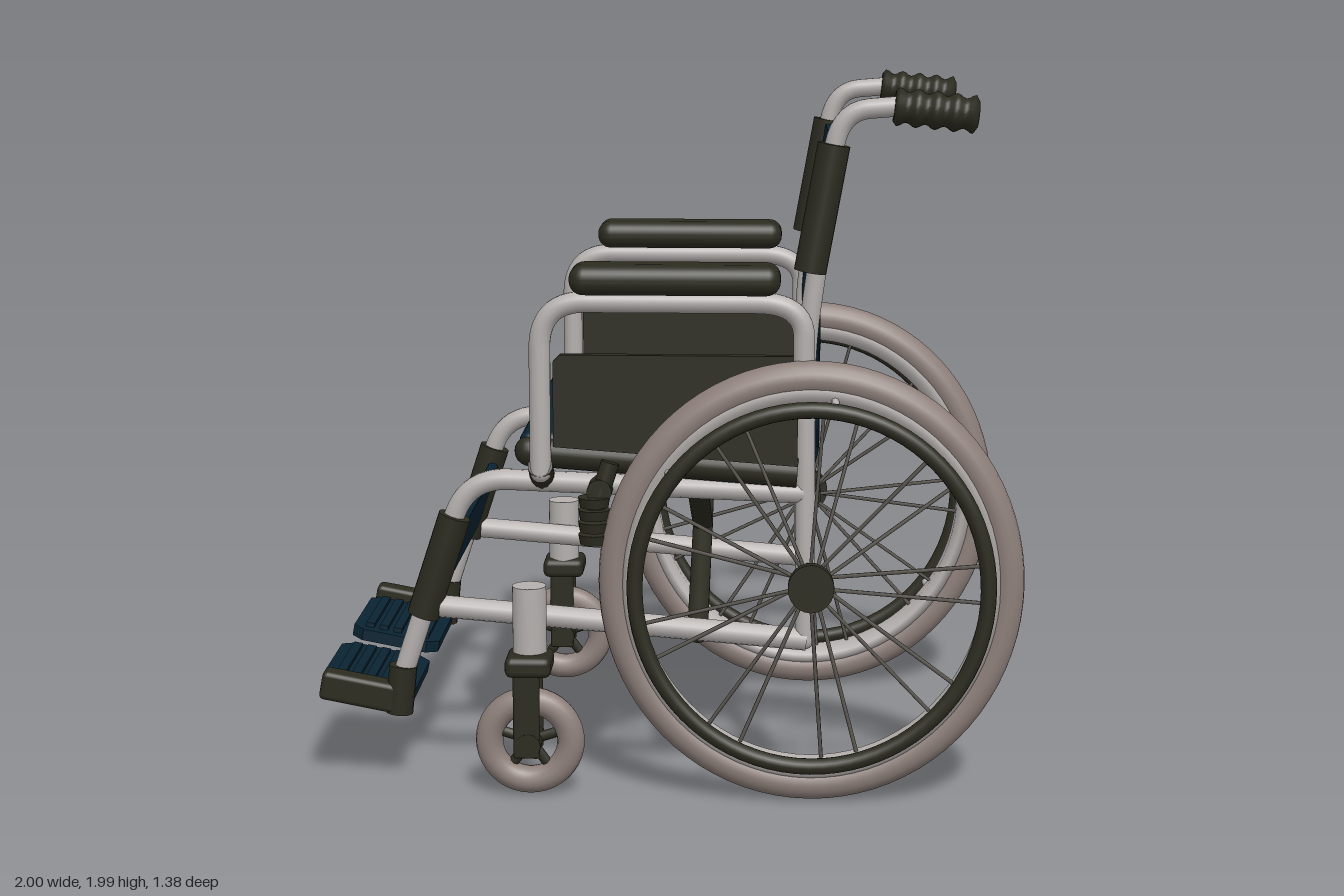
import * as THREE from 'three';
import { RoundedBoxGeometry } from 'three/addons/geometries/RoundedBoxGeometry.js';

const mat = (name, color) => {
  const m = new THREE.MeshStandardMaterial({ color });
  m.name = name;
  return m;
};
const V = (x, y, z = 0) => new THREE.Vector3(x, y, z);

export function createModel() {
  const model = new THREE.Group();
  model.name = 'wheelchair';
  const metal = mat('light metal', 0xb5b0ae);
  const dark = mat('dark plastic', 0x2c2b20);
  const blue = mat('navy fabric', 0x0a2433);
  const rubber = mat('grey rubber', 0x8d7f7a);
  const wire = mat('spoke grey', 0x5a5650);

  const add = (parent, name, geo, material, x = 0, y = 0, z = 0, rz = 0) => {
    const m = new THREE.Mesh(geo, material);
    m.name = name;
    m.position.set(x, y, z);
    m.rotation.z = rz;
    parent.add(m);
    return m;
  };
  // Straight round bar between two points
  const bar = (parent, name, a, b, r, material, sides = 14) => {
    const d = b.clone().sub(a);
    const m = add(parent, name, new THREE.CylinderGeometry(r, r, d.length(), sides), material);
    m.position.copy(a).lerp(b, 0.5);
    m.quaternion.setFromUnitVectors(V(0, 1), d.normalize());
    return m;
  };
  // Bent tube: straight runs with rounded corners, in the plane z
  const pipe = (parent, name, pts, z, r, bend, material) => {
    const p = pts.map(([x, y]) => V(x, y, z));
    const path = new THREE.CurvePath();
    let from = p[0];
    for (let i = 1; i < p.length - 1; i++) {
      const toward = (q) => p[i].clone().add(
        q.clone().sub(p[i]).setLength(Math.min(bend, q.distanceTo(p[i]) * 0.45)));
      const a = toward(p[i - 1]), b = toward(p[i + 1]);
      path.add(new THREE.LineCurve3(from, a));
      path.add(new THREE.QuadraticBezierCurve3(a, p[i], b));
      from = b;
    }
    path.add(new THREE.LineCurve3(from, p[p.length - 1]));
    add(parent, name, new THREE.TubeGeometry(path, 80, r, 14, false), material);
    for (const e of [p[0], p[p.length - 1]])
      add(parent, name + 'End', new THREE.SphereGeometry(r, 14, 8), material, e.x, e.y, e.z);
  };
  const disc = (parent, name, r, depth, material, x, y, z) => {
    const m = add(parent, name, new THREE.CylinderGeometry(r, r, depth, 24), material, x, y, z);
    m.rotation.x = Math.PI / 2;
    return m;
  };

  // Seat cushion
  add(model, 'seat', new RoundedBoxGeometry(0.77, 0.1, 1.03, 3, 0.03), blue, -0.025, 0.985, 0);

  // Backrest cloth: follows the leaning posts, bows backwards, top edge sags
  const back = new THREE.BoxGeometry(0.03, 1, 0.92, 1, 16, 14);
  const bp = back.attributes.position;
  for (let i = 0; i < bp.count; i++) {
    const t = bp.getY(i) + 0.5, z = bp.getZ(i), sag = 1 - (z / 0.46) ** 2;
    const y = 0.93 + t * (0.9 - 0.035 * sag);
    bp.setXYZ(i, bp.getX(i) + 0.4 + Math.max(0, y - 1.35) * 0.14 + 0.022 * sag, y, z);
  }
  back.computeVertexNormals();
  add(model, 'backrest', back, blue);

  // Calf strap between the front legs
  add(model, 'calfStrap', new RoundedBoxGeometry(0.03, 0.225, 0.94, 2, 0.012), blue, -0.63, 0.638, 0, -0.32);

  // Folding cross brace under the seat
  bar(model, 'crossBrace', V(0.09, 0.44, 0.46), V(0.09, 0.88, -0.46), 0.03, dark);
  bar(model, 'crossBraceShort', V(0.09, 0.87, 0.46), V(0.09, 0.65, -0.02), 0.03, dark);

  for (const s of [1, -1]) {
    const side = new THREE.Group();
    side.name = s > 0 ? 'leftSide' : 'rightSide';
    model.add(side);
    const fz = 0.49 * s;

    // Frame tubes
    pipe(side, 'backPost', [[0.395, 0.44], [0.39, 1.28], [0.475, 1.93], [0.66, 1.945]], fz, 0.028, 0.11, metal);
    pipe(side, 'legTube', [[-0.755, 0.31], [-0.56, 0.9], [0.38, 0.865]], fz, 0.03, 0.12, metal);
    bar(side, 'lowerRail', V(-0.64, 0.525, fz), V(0.4, 0.44, fz), 0.032, metal);
    pipe(side, 'armTube', [[-0.345, 0.93], [-0.345, 1.41], [0.385, 1.41], [0.385, 1.2]], 0.552 * s, 0.03, 0.13, metal);
    bar(side, 'armTubeSocket', V(-0.345, 0.9, fz), V(-0.345, 0.95, 0.56 * s), 0.035, dark);

    // Dark sleeves on the posts and legs
    bar(side, 'backSleeve', V(0.4, 1.49, 0.495 * s), V(0.462, 1.84, 0.495 * s), 0.045, dark, 20);
    bar(side, 'legSleeve', V(-0.69, 0.5, 0.495 * s), V(-0.595, 0.79, 0.495 * s), 0.046, dark, 20);

    // Ribbed push handle
    const prof = [[0, 0], [0.042, 0]];
    for (let i = 0; i <= 24; i++)
      prof.push([0.047 + 0.006 * Math.cos(i * Math.PI / 3), 0.01 + i * 0.0087]);
    prof.push([0.035, 0.23], [0, 0.23]);
    add(side, 'pushHandle', new THREE.LatheGeometry(prof.map(([x, y]) => new THREE.Vector2(x, y)), 20),
      dark, 0.625, 1.943, fz, -Math.PI / 2 - 0.1);

    // Armrest pad, side guard and seat rail
    add(side, 'armrestPad', new RoundedBoxGeometry(0.58, 0.085, 0.15, 4, 0.04), dark, 0.03, 1.475, 0.548 * s);
    const guard = new THREE.Shape([[-0.31, 1.0], [0.37, 0.95], [0.37, 1.26], [-0.29, 1.26], [-0.31, 1.24]]
      .map(([x, y]) => new THREE.Vector2(x, y)));
    add(side, 'sideGuard', new THREE.ExtrudeGeometry(guard, { depth: 0.03, bevelEnabled: false }),
      dark, 0, 0, 0.53 * s - 0.015);
    bar(side, 'seatRail', V(-0.38, 0.98, 0.5 * s), V(0.37, 0.925, 0.5 * s), 0.043, dark, 18);
    add(side, 'seatRailCap', new THREE.SphereGeometry(0.043, 18, 10), dark, -0.38, 0.98, 0.5 * s);

    // Wheel brake with ribbed lever
    bar(side, 'brakeArm', V(-0.15, 0.96, 0.55 * s), V(-0.2, 0.8, 0.56 * s), 0.026, dark);
    bar(side, 'brakeMount', V(-0.18, 0.88, fz), V(-0.18, 0.88, 0.58 * s), 0.035, dark);
    for (let i = 0; i < 4; i++)
      add(side, 'brakeGrip', new THREE.CylinderGeometry(0.045, 0.04, 0.028, 16), dark,
        -0.195, 0.745 + i * 0.035, 0.565 * s);

    // Footrest
    bar(side, 'footJoint', V(-0.765, 0.21, fz), V(-0.75, 0.35, fz), 0.04, dark);
    const foot = new THREE.Group();
    foot.name = 'footrest';
    foot.position.set(-0.865, 0.262, 0);
    foot.rotation.z = -0.19;
    side.add(foot);
    add(foot, 'footBar', new RoundedBoxGeometry(0.25, 0.085, 0.07, 2, 0.015), dark, 0, 0.01, fz);
    const c = 0.035, w = 0.135, h = 0.195;
    const plate = new THREE.Shape([[-w + c, -h], [w - c, -h], [w, -h + c], [w, h - c],
      [w - c, h], [-w + c, h], [-w, h - c], [-w, -h + c]].map(([x, y]) => new THREE.Vector2(x, y)));
    const fp = add(foot, 'footPlate', new THREE.ExtrudeGeometry(plate, { depth: 0.035, bevelEnabled: false }),
      blue, 0, -0.02, 0.27 * s);
    fp.rotation.x = -Math.PI / 2;
    for (let i = -2; i <= 2; i++)
      add(foot, 'footRidge', new THREE.BoxGeometry(0.026, 0.018, 0.32), blue, i * 0.043, 0.02, 0.27 * s);

    // Front caster
    const cz = 0.57 * s, cx = -0.38, cy = 0.158;
    add(side, 'casterHousing', new THREE.CylinderGeometry(0.048, 0.048, 0.22, 24), metal, cx, 0.495, 0.555 * s);
    add(side, 'casterCrown', new RoundedBoxGeometry(0.13, 0.06, 0.14, 2, 0.02), dark, cx, 0.385, cz);
    for (const k of [-1, 1]) {
      add(side, 'casterFork', new RoundedBoxGeometry(0.075, 0.27, 0.02, 2, 0.009), dark, cx - 0.005, 0.255, cz + k * 0.053);
    }
    add(side, 'casterTyre', new THREE.TorusGeometry(0.116, 0.039, 14, 40), rubber, cx, cy, cz);
    disc(side, 'casterHub', 0.035, 0.13, dark, cx, cy, cz);
    for (let i = 0; i < 5; i++) {
      const a = i * Math.PI * 0.4 + Math.PI / 2;
      bar(side, 'casterSpoke', V(cx, cy, cz), V(cx + 0.09 * Math.cos(a), cy + 0.09 * Math.sin(a), cz), 0.015, dark, 8);
    }

    // Rear wheel, slightly narrower than tall
    const wheel = new THREE.Group();
    wheel.name = 'rearWheel';
    wheel.position.set(0.41, 0.628, 0.578 * s);
    wheel.scale.x = 0.945;
    side.add(wheel);
    add(wheel, 'tyre', new THREE.TorusGeometry(0.577, 0.05, 16, 80), rubber);
    const rim = [[0.508, -0.025], [0.53, -0.04], [0.553, -0.046], [0.553, 0.046], [0.53, 0.04], [0.508, 0.025], [0.508, -0.025]];
    add(wheel, 'wheelRim', new THREE.LatheGeometry(rim.map(([x, y]) => new THREE.Vector2(x, y)), 80), metal)
      .rotation.x = Math.PI / 2;
    add(wheel, 'handRim', new THREE.TorusGeometry(0.505, 0.023, 12, 80), dark, 0, 0, 0.09 * s).scale.x = 1.02;
    for (let i = 0; i < 6; i++) {
      const a = i * Math.PI / 3 + 0.4, x = Math.cos(a), y = Math.sin(a);
      bar(wheel, 'handRimStud', V(0.53 * x, 0.53 * y, 0.02 * s), V(0.51 * x, 0.505 * y, 0.09 * s), 0.012, metal, 8);
    }
    for (let i = 0; i < 18; i++) {
      const a = i * Math.PI / 9 + Math.PI / 2, b = a + (i % 2 ? 0.07 : -0.07);
      const z = i % 2 ? 0.045 : -0.03;
      bar(wheel, 'spoke', V(0.04 * Math.cos(a), 0.04 * Math.sin(a), z * s),
        V(0.515 * Math.cos(b), 0.515 * Math.sin(b), 0), 0.006, wire, 6);
    }
    disc(wheel, 'hub', 0.045, 0.1, dark, 0, 0, 0);
    disc(wheel, 'hubCap', 0.068, 0.03, dark, 0, 0, 0.06 * s);
    disc(wheel, 'axle', 0.03, 0.1, metal, 0, 0, -0.07 * s);
  }
  return model;
}
